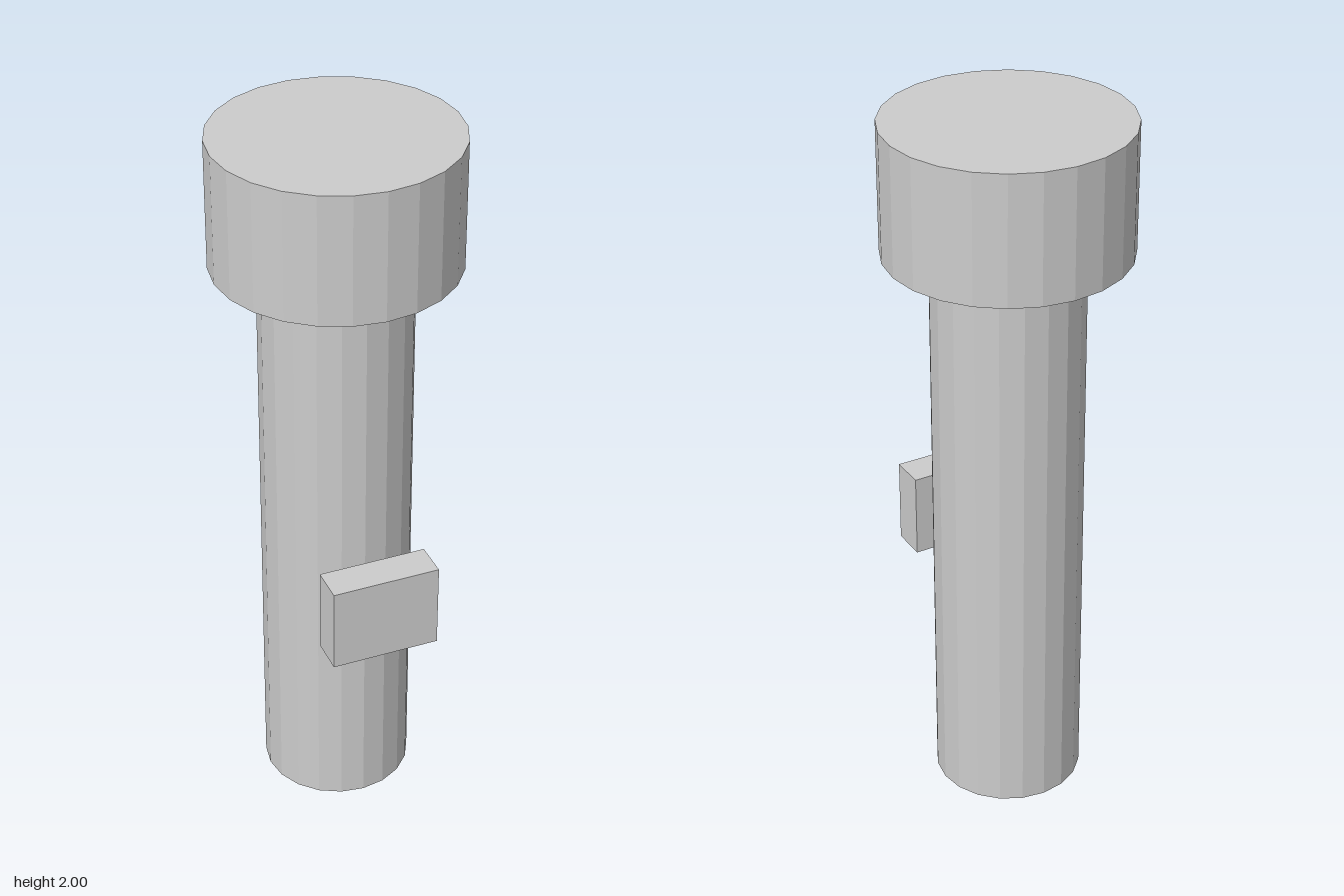
import * as THREE from 'three';

export function createModel() {
  const model = new THREE.Group();
  const grey = new THREE.MeshStandardMaterial({ color: 0xcccccc, flatShading: true });
  grey.name = 'light grey';

  const add = (name, geometry, x, y, z) => {
    const mesh = new THREE.Mesh(geometry, grey);
    mesh.name = name;
    mesh.position.set(x, y, z);
    model.add(mesh);
  };
  const axisZ = -0.012; // post and head share an axis just behind the centre

  // Upright cylinder between two heights
  const addCylinder = (name, radius, bottom, top, sides) => add(name,
    new THREE.CylinderGeometry(radius, radius, top - bottom, sides), 0, (bottom + top) / 2, axisZ);

  addCylinder('post', 0.208, 0, 1.64, 20);
  addCylinder('head', 0.333, 1.64, 2, 24);

  // Small block floating in front of the post
  add('frontBlock', new THREE.BoxGeometry(0.302, 0.242, 0.1), 0, 0.731, 0.294);

  return model;
}
